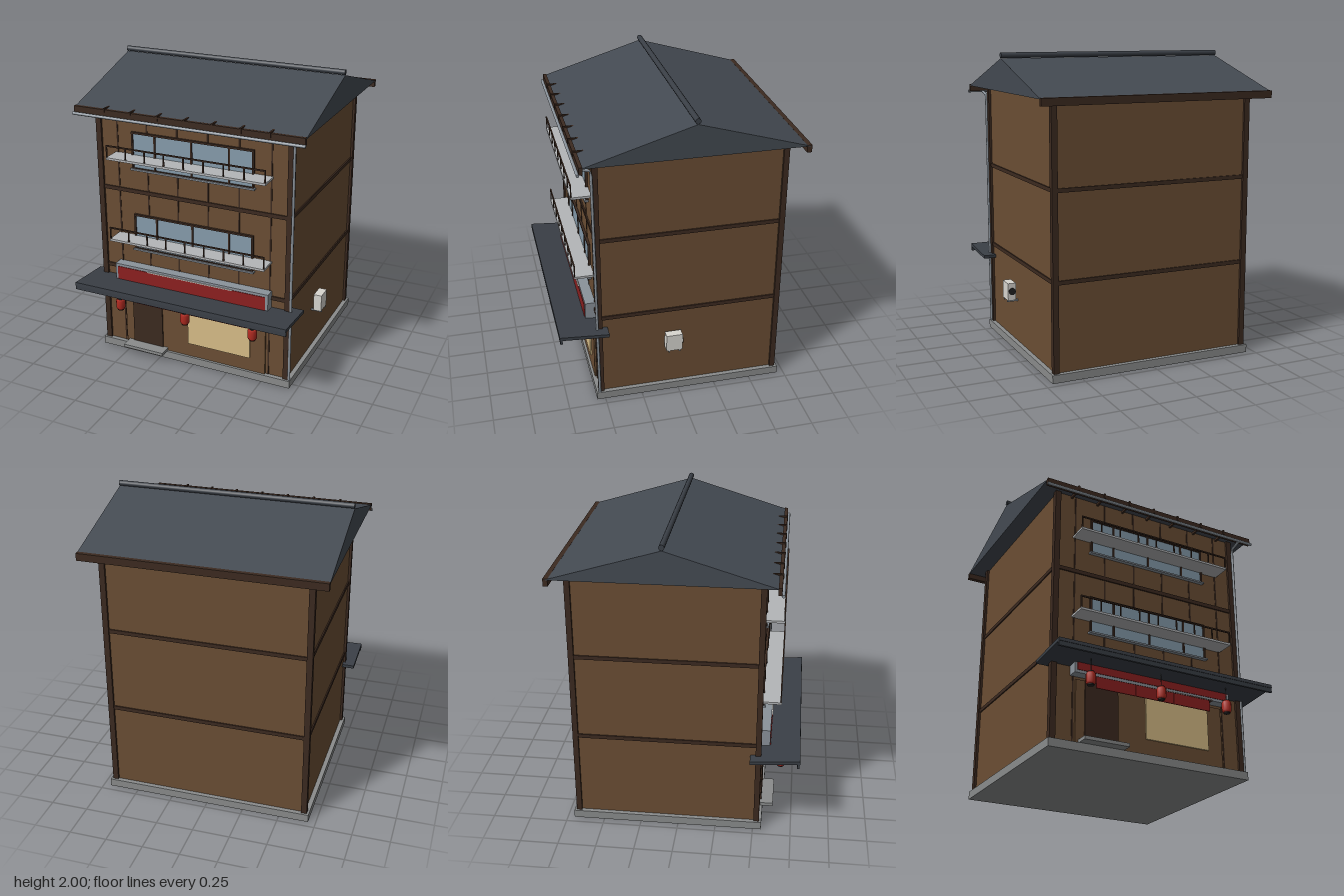
import * as THREE from 'three';

const mat = (color) => new THREE.MeshStandardMaterial({ color });

export function createModel() {
  const house = new THREE.Group();
  house.name = 'house';
  const M = {
    wall: mat(0x6b4e34), timber: mat(0x3c2a20), roof: mat(0x444a52), canopy: mat(0x3a3f46),
    stone: mat(0x8a8c8c), metal: mat(0x8b939b), slab: mat(0xb4b6b8), glass: mat(0x869cac),
    red: mat(0x8c2020), lantern: mat(0xb02a20), dark: mat(0x222222), shop: mat(0xd8bd88),
    white: mat(0xd8d6d0),
  };

  const add = (name, geometry, material, parent = house) => {
    const mesh = new THREE.Mesh(geometry, material);
    mesh.name = name;
    parent.add(mesh);
    return mesh;
  };
  // Box given by its limits on each axis
  const box = (name, m, [x0, x1], [y0, y1], [z0, z1], parent) => {
    const mesh = add(name, new THREE.BoxGeometry(x1 - x0, y1 - y0, z1 - z0), m, parent);
    mesh.position.set((x0 + x1) / 2, (y0 + y1) / 2, (z0 + z1) / 2);
    return mesh;
  };
  const group = (name) => {
    const g = new THREE.Group();
    g.name = name;
    house.add(g);
    return g;
  };
  // Rectangular border around an opening
  const border = (name, m, [x0, x1], [y0, y1], z, t, parent) => {
    box(name, m, [x0, x1], [y1 - t, y1], z, parent);
    box(name, m, [x0, x1], [y0, y0 + t], z, parent);
    box(name, m, [x0, x0 + t], [y0 + t, y1 - t], z, parent);
    box(name, m, [x1 - t, x1], [y0 + t, y1 - t], z, parent);
  };

  // Plinth and walls
  box('plinth', M.stone, [-0.7, 0.7], [0, 0.053], [-0.705, 0.555]);
  box('walls', M.wall, [-0.67, 0.67], [0.053, 1.757], [-0.675, 0.525]);

  // Timber frame: corner posts, floor bands, front battens
  const frame = group('timberFrame');
  for (const x of [-0.667, 0.667])
    for (const z of [-0.672, 0.522])
      box('cornerPost', M.timber, [x - 0.019, x + 0.019], [0.053, 1.755], [z - 0.018, z + 0.018], frame);
  for (const y of [0.627, 1.197])
    box('floorBand', M.timber, [-0.678, 0.678], [y - 0.013, y + 0.013], [-0.683, 0.534], frame);
  for (let i = 0; i < 6; i++) {
    const x = -0.535 + i * 0.215;
    box('batten', M.timber, [x - 0.005, x + 0.005], [0.053, 1.75], [0.52, 0.529], frame);
  }

  // Gabled roof, extruded along x
  const roof = group('roof');
  const gable = new THREE.Shape([[0.625, 1.752], [-0.075, 1.963], [-0.785, 1.752]]
    .map(([z, y]) => new THREE.Vector2(-z, y)));
  const prism = new THREE.ExtrudeGeometry(gable, { depth: 1.57, bevelEnabled: false });
  prism.translate(0, 0, -0.785).rotateY(Math.PI / 2);
  add('roofBody', prism, M.roof, roof);
  const ridge = add('ridgeRoll', new THREE.CylinderGeometry(0.018, 0.018, 1.57, 12), M.canopy, roof);
  ridge.rotation.z = Math.PI / 2;
  ridge.position.set(0, 1.982, -0.075);
  box('frontFascia', M.timber, [-0.785, 0.785], [1.715, 1.762], [0.607, 0.63], roof);
  box('backFascia', M.timber, [-0.785, 0.785], [1.712, 1.76], [-0.79, -0.76], roof);
  for (let i = -3; i <= 3; i++)
    box('rafterEnd', M.timber, [i * 0.188 - 0.006, i * 0.188 + 0.006], [1.735, 1.77], [0.52, 0.634], roof);

  // Gutter and downpipe
  const drain = group('rainDrain');
  const gutter = add('gutter', new THREE.CylinderGeometry(0.01, 0.01, 1.58, 10), M.metal, drain);
  gutter.rotation.z = Math.PI / 2;
  gutter.position.set(0, 1.714, 0.638);
  const pipePath = new THREE.CurvePath();
  const pts = [[1.714, 0.636], [1.69, 0.545], [0.053, 0.535]].map(([y, z]) => new THREE.Vector3(0.69, y, z));
  pipePath.add(new THREE.LineCurve3(pts[0], pts[1]));
  pipePath.add(new THREE.LineCurve3(pts[1], pts[2]));
  add('downpipe', new THREE.TubeGeometry(pipePath, 40, 0.009, 8), M.metal, drain);

  // Two upper floors: window band with balcony in front
  for (const y of [0.785, 1.355]) {
    const win = group('windowBand');
    box('glass', M.glass, [-0.42, 0.42], [y + 0.005, y + 0.245], [0.52, 0.533], win);
    border('windowFrame', M.timber, [-0.427, 0.427], [y, y + 0.253], [0.52, 0.541], 0.012, win);
    for (const x of [-0.26, 0, 0.26])
      box('mullion', M.timber, [x - 0.006, x + 0.006], [y, y + 0.25], [0.52, 0.54], win);
    box('sill', M.metal, [-0.435, 0.435], [y - 0.005, y + 0.006], [0.52, 0.552], win);

    const balcony = group('balcony');
    const deck = y + 0.098;
    box('deck', M.slab, [-0.55, 0.55], [deck - 0.015, deck], [0.525, 0.655], balcony);
    box('handrail', M.timber, [-0.55, 0.55], [deck + 0.074, deck + 0.083], [0.645, 0.654], balcony);
    for (let i = -4; i <= 4; i++) {
      const x = i * 0.1365;
      box('railPost', M.timber, [x - 0.004, x + 0.004], [deck, deck + 0.078], [0.646, 0.653], balcony);
    }
  }

  // Shop sign box
  const sign = group('signBox');
  box('signBody', M.metal, [-0.555, 0.555], [0.475, 0.675], [0.525, 0.582], sign);
  border('signFrame', M.metal, [-0.555, 0.555], [0.475, 0.675], [0.58, 0.592], 0.018, sign);
  box('signPanel', M.red, [-0.537, 0.537], [0.493, 0.657], [0.575, 0.596], sign);
  box('signLamp', M.white, [-0.31, 0.31], [0.654, 0.66], [0.59, 0.599], sign);

  // Canopy rising slightly to the front
  const canopy = group('canopy');
  const slab = box('canopySlab', M.canopy, [-0.755, 0.755], [0.544, 0.566], [0.47, 0.79], canopy);
  slab.rotation.x = -0.075;
  box('canopyLip', M.canopy, [-0.755, 0.755], [0.527, 0.56], [0.772, 0.787], canopy);

  // Shopfront: panel, door, window, step
  const shop = group('shopfront');
  box('shopPanel', M.wall, [-0.52, 0.52], [0.053, 0.455], [0.52, 0.538], shop);
  box('door', M.timber, [-0.46, -0.235], [0.06, 0.455], [0.53, 0.546], shop);
  box('shopWindow', M.shop, [-0.04, 0.413], [0.153, 0.455], [0.53, 0.548], shop);
  box('doorStep', M.stone, [-0.5, -0.2], [0.053, 0.075], [0.525, 0.625], shop);

  // Cloth curtain in three strips
  const curtain = group('curtain');
  for (const x of [-0.273, 0, 0.273])
    box('curtainStrip', M.red, [x - 0.134, x + 0.134], [0.4, 0.478], [0.584, 0.59], curtain);
  box('curtainRod', M.timber, [-0.43, 0.43], [0.474, 0.482], [0.525, 0.592], curtain);

  // Hanging lanterns with dark caps
  for (const x of [-0.485, 0, 0.482]) {
    const lantern = group('lantern');
    lantern.position.set(x, 0.418, 0.665);
    const profile = [[0, -0.038], [0.024, -0.038], [0.031, -0.026], [0.031, 0.026], [0.024, 0.038], [0, 0.038]]
      .map(([r, y]) => new THREE.Vector2(r, y));
    add('lanternBody', new THREE.LatheGeometry(profile, 12), M.lantern, lantern);
    for (const y of [-0.04, 0.04])
      add('lanternCap', new THREE.CylinderGeometry(0.022, 0.022, 0.008, 12), M.dark, lantern).position.y = y;
    add('lanternCord', new THREE.CylinderGeometry(0.002, 0.002, 0.1, 6), M.dark, lantern).position.y = 0.09;
  }

  // Air conditioner on the left wall, fan facing the back
  const cooler = group('airConditioner');
  box('coolerCase', M.white, [0.69, 0.745], [0.35, 0.468], [-0.015, 0.093], cooler);
  for (const z of [0.0, 0.07])
    box('coolerBracket', M.metal, [0.665, 0.745], [0.338, 0.35], [z, z + 0.01], cooler);
  const fan = add('coolerFan', new THREE.CylinderGeometry(0.024, 0.024, 0.01, 20), M.dark, cooler);
  fan.rotation.x = Math.PI / 2;
  fan.position.set(0.717, 0.412, -0.017);

  return house;
}
